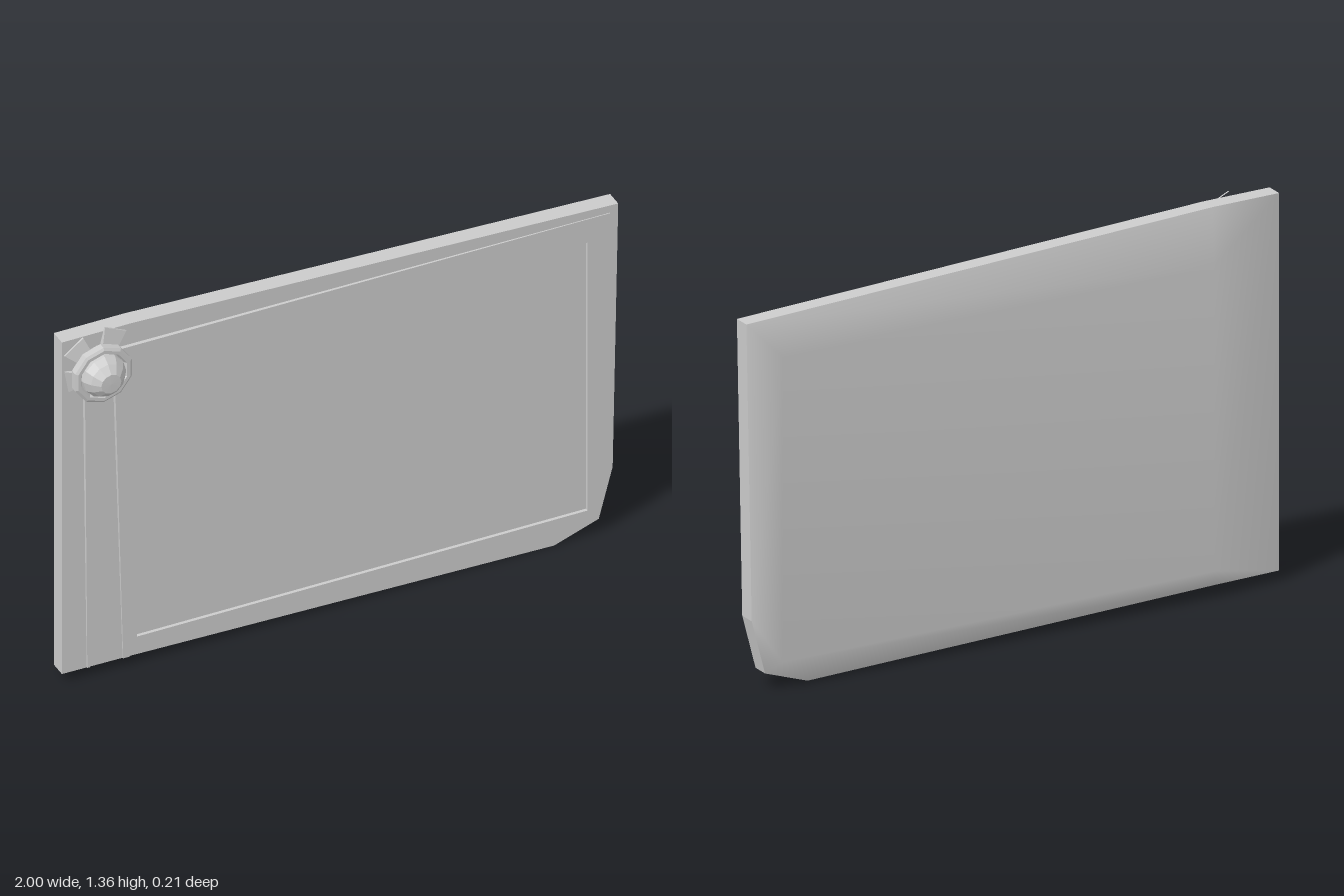
import * as THREE from 'three';

const grey = () => new THREE.MeshStandardMaterial({ color: 0xcccccc });
const flat = () => new THREE.MeshStandardMaterial({ color: 0xcccccc, flatShading: true });

const outline = [[-1, 0.04], [-0.76, 0.037], [0.77, 0.004], [0.93, 0.06], [0.98, 0.25], [1, 1.28], [-0.75, 1.345], [-1, 1.345]];
const inset = [[-0.73, 0.105], [0.89, 0.105], [0.89, 1.16], [-0.73, 1.16]];
const hub = [-0.873, 1.207];

function mesh(name, geometry, material) {
  const m = new THREE.Mesh(geometry, material);
  m.name = name;
  return m;
}

function indexed(points, index) {
  const g = new THREE.BufferGeometry();
  g.setAttribute('position', new THREE.Float32BufferAttribute(points.flat(), 3));
  g.setIndex(index);
  g.computeVertexNormals();
  return g;
}

// Wall between two counter-clockwise loops, facing outward when zFront > zBack
function wall(loop, zFront, zBack) {
  const n = loop.length, index = [];
  const points = [...loop.map(p => [...p, zFront]), ...loop.map(p => [...p, zBack])];
  for (let i = 0; i < n; i++) {
    const j = (i + 1) % n;
    index.push(i, n + i, n + j, i, n + j, j);
  }
  return indexed(points, index);
}

// Tapering ridge: root edge a-b and tip edge d-c, counter-clockwise from the front
function ridge(name, corners, zRoot, zTip) {
  const tops = corners.map((p, i) => [...p, i < 2 ? zRoot : zTip]);
  const points = [...tops, ...corners.map(p => [...p, 0])];
  const index = [0, 1, 2, 0, 2, 3];
  for (let i = 0; i < 4; i++) {
    const j = (i + 1) % 4;
    index.push(i, 4 + i, 4 + j, i, 4 + j, j);
  }
  return mesh(name, indexed(points, index), flat());
}

export function createModel() {
  const model = new THREE.Group();
  const vec = loop => loop.map(p => new THREE.Vector2(...p));

  // Front frame, edge and recessed panel
  const recess = -0.012;
  const frame = new THREE.Shape(vec(outline));
  frame.holes.push(new THREE.Path(vec(inset)));
  model.add(mesh('frontFrame', new THREE.ShapeGeometry(frame), grey()));
  model.add(mesh('plateEdge', wall(outline, 0, -0.06), flat()));
  model.add(mesh('recessWall', wall(inset, recess, 0), flat()));
  const panel = mesh('panel', new THREE.ShapeGeometry(new THREE.Shape(vec(inset))), grey());
  panel.position.z = recess;
  model.add(panel);

  // Softly shaded back, sloping from the edge to a raised rectangle
  const nearest = [0, 0, 1, 1, 1, 2, 3, 3];
  const points = [...outline.map(p => [...p, -0.06]), ...inset.map(p => [...p, -0.105])];
  const index = [8, 10, 9, 8, 11, 10];
  for (let i = 0; i < 8; i++) {
    const j = (i + 1) % 8, a = 8 + nearest[i], b = 8 + nearest[j];
    index.push(i, b, j);
    if (a !== b) index.push(i, a, b);
  }
  model.add(mesh('back', indexed(points, index), grey()));

  // Long ridges running down and across from the hub
  const ridges = new THREE.Group();
  ridges.name = 'ridges';
  ridges.add(
    ridge('outerDownRidge', [[-0.87, 1.16], [-0.925, 1.16], [-0.911, 0.04], [-0.902, 0.04]], 0.016, 0.005),
    ridge('innerDownRidge', [[-0.775, 1.16], [-0.817, 1.16], [-0.782, 0.038], [-0.758, 0.038]], 0.016, 0.005),
    ridge('acrossRidge', [[-0.82, 1.265], [-0.82, 1.204], [0.97, 1.231], [0.97, 1.253]], 0.014, 0.003)
  );
  model.add(ridges);

  // Short claws reaching from the hub to the corner
  [[65, 0.15], [128, 0.14], [190, 0.113]].forEach(([deg, reach]) => {
    const t = THREE.MathUtils.degToRad(deg), c = Math.cos(t), s = Math.sin(t);
    const at = (r, w) => [hub[0] + r * c - w * s, hub[1] + r * s + w * c];
    const corners = [at(0.07, 0.025), at(0.07, -0.025), at(reach, -0.042), at(reach, 0.042)];
    model.add(ridge('claw', corners, 0.022, 0.006));
  });

  // Faceted collar and domed stud
  const lathe = (name, profile, sides) => {
    const g = new THREE.LatheGeometry(profile.map(p => new THREE.Vector2(...p)), sides);
    g.rotateX(Math.PI / 2);
    const m = mesh(name, g, flat());
    m.position.set(hub[0], hub[1], 0);
    return m;
  };
  model.add(lathe('collar', [[0.088, 0], [0.088, 0.02], [0.107, 0.022], [0.107, 0.046], [0.098, 0.052], [0.086, 0.052], [0.078, 0.038]], 10));
  model.add(lathe('stud', [[0.078, 0.036], [0.077, 0.055], [0.062, 0.08], [0.036, 0.104], [0, 0.105]], 12));

  return model;
}
